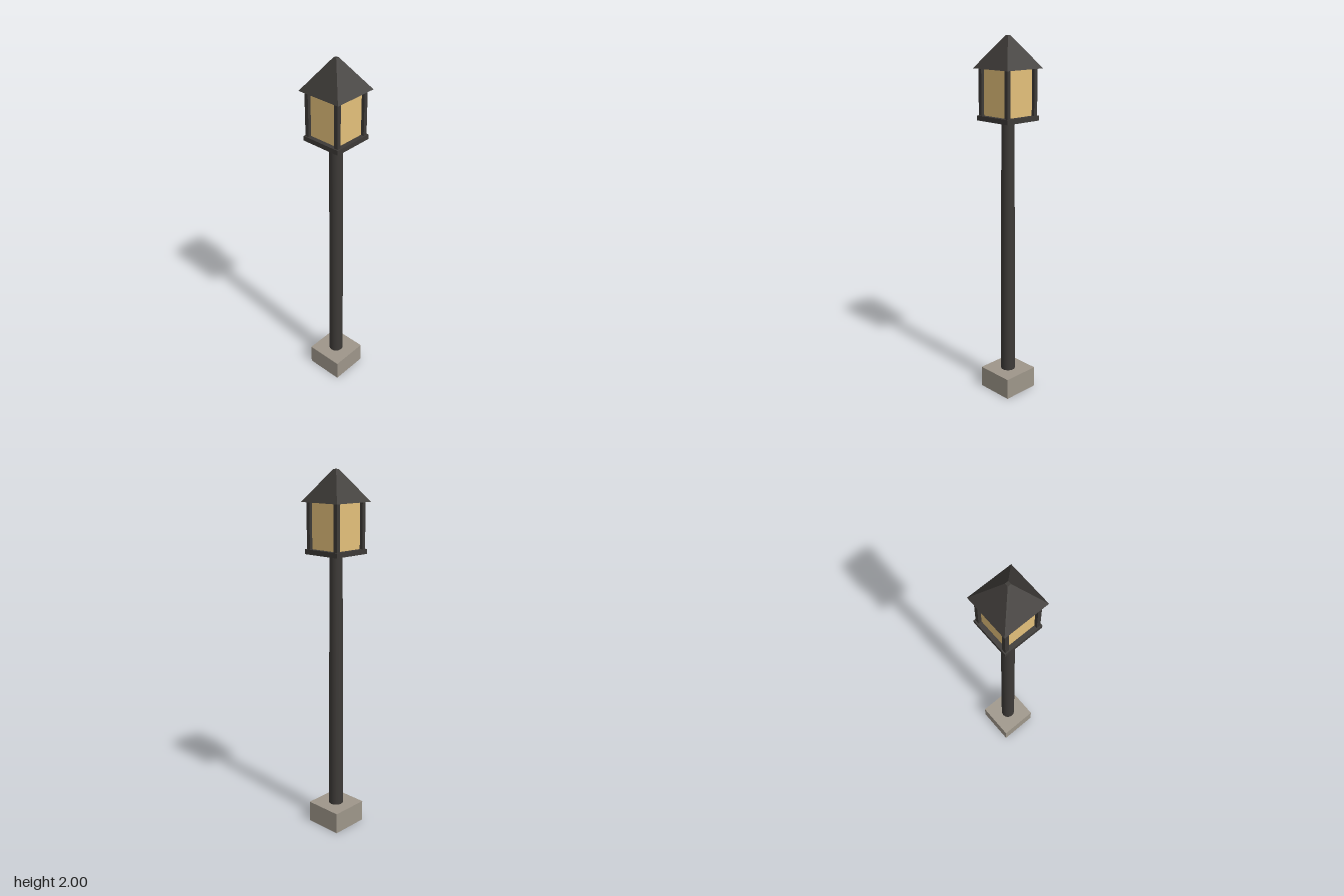
import * as THREE from 'three';

export function createModel() {
  const model = new THREE.Group();
  model.name = 'lampPost';
  const iron = new THREE.MeshStandardMaterial({ color: 0x3d3a37 });
  const flatIron = new THREE.MeshStandardMaterial({ color: 0x3d3a37, flatShading: true });
  const stone = new THREE.MeshStandardMaterial({ color: 0x9e968a });
  const glass = new THREE.MeshStandardMaterial({ color: 0xe3c07a });

  function add(name, geometry, material, x, y, z) {
    const mesh = new THREE.Mesh(geometry, material);
    mesh.name = name;
    mesh.position.set(x, y, z);
    model.add(mesh);
    return mesh;
  }
  // Square-section box standing on height y0
  const block = (name, width, y0, y1, material, x = 0, z = 0) =>
    add(name, new THREE.BoxGeometry(width, y1 - y0, width), material, x, (y0 + y1) / 2, z);

  // Stone foot and slightly tapered pole
  block('base', 0.217, 0, 0.12, stone);
  add('pole', new THREE.CylinderGeometry(0.035, 0.041, 1.45, 16), iron, 0, 0.845, 0);

  // Lantern: floor plate, glass body and four corner posts
  block('lanternFloor', 0.23, 1.566, 1.592, iron);
  block('lanternGlass', 0.18, 1.592, 1.836, glass);
  for (const sx of [-1, 1]) {
    for (const sz of [-1, 1]) {
      block('cornerPost', 0.022, 1.592, 1.836, iron, sx * 0.097, sz * 0.097);
    }
  }

  // Four-sided roof with a small flat tip
  const roof = new THREE.CylinderGeometry(0.0095 * Math.SQRT2, 0.128 * Math.SQRT2, 0.165, 4);
  roof.rotateY(Math.PI / 4);
  add('roof', roof, flatIron, 0, 1.9175, 0);

  return model;
}
